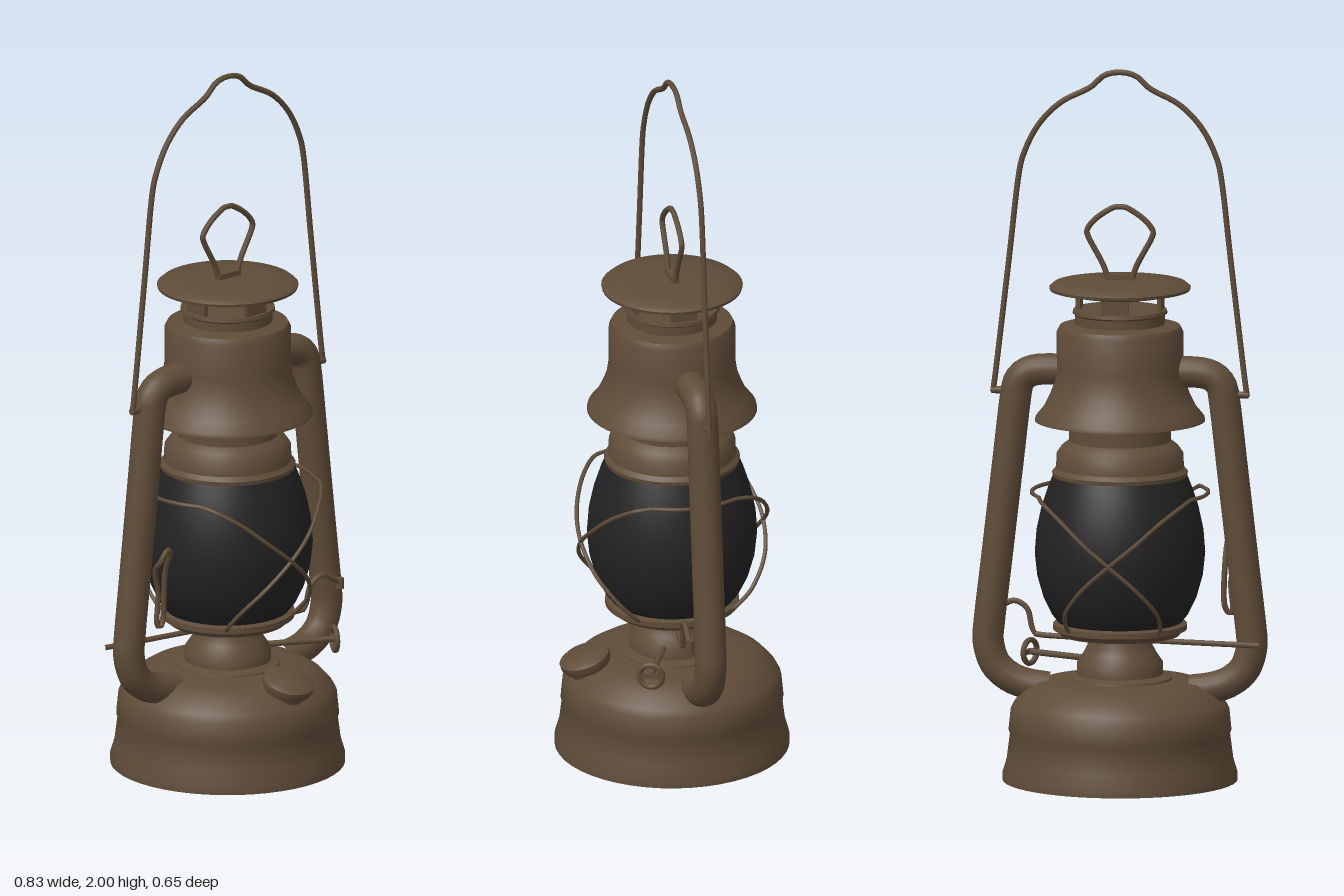
import * as THREE from 'three';
import { toCreasedNormals } from 'three/addons/utils/BufferGeometryUtils.js';

const metal = new THREE.MeshStandardMaterial({ color: 0x5f4c38 });
metal.name = 'aged brown metal';
const glass = new THREE.MeshStandardMaterial({ color: 0x222222 });
glass.name = 'sooty dark glass';

export function createModel() {
  const model = new THREE.Group();
  model.name = 'hurricaneLantern';

  const add = (name, geometry, material = metal) => {
    const mesh = new THREE.Mesh(geometry, material);
    mesh.name = name;
    model.add(mesh);
    return mesh;
  };
  // Profiles are [radius, height], listed from the bottom up the outside
  const lathe = (profile, segments = 48) => toCreasedNormals(
    new THREE.LatheGeometry(profile.map(([r, y]) => new THREE.Vector2(r, y)), segments), 0.6);
  const tube = (points, radius, { closed = false, steps = 64, sides = 8, tension = 0.5 } = {}) => {
    const curve = new THREE.CatmullRomCurve3(
      points.map((p) => new THREE.Vector3(...p)), closed, 'catmullrom', tension);
    return new THREE.TubeGeometry(curve, steps, radius, sides, closed);
  };
  const mirrorX = (half) => [...half, ...half.slice(0, -1).reverse().map(([x, y, z]) => [-x, y, z])];

  // Fuel tank and burner
  add('fuelTank', lathe([[0, 0], [0.327, 0], [0.327, 0.02], [0.315, 0.06], [0.306, 0.13], [0.31, 0.14],
    [0.304, 0.2], [0.293, 0.22], [0.265, 0.25], [0.225, 0.275], [0.17, 0.284], [0, 0.286]]));
  add('burner', lathe([[0.15, 0.27], [0.145, 0.29], [0.12, 0.298], [0.12, 0.33], [0.1, 0.36],
    [0.09, 0.38], [0.085, 0.42]]));
  add('globePlate', lathe([[0, 0.4], [0.09, 0.4], [0.165, 0.408], [0.172, 0.418], [0.186, 0.424],
    [0.186, 0.44], [0.17, 0.446], [0, 0.446]]));

  // Filler cap, tilted forward on the tank shoulder
  const filler = add('fillerCap', lathe([[0, -0.06], [0.05, -0.06], [0.05, -0.02], [0.066, -0.012], [0.072, 0],
    [0.072, 0.016], [0.06, 0.024], [0, 0.026]], 32));
  filler.position.set(0, 0.275, 0.25);
  filler.rotation.x = 0.33;

  // Globe
  add('globe', lathe([[0.168, 0.44], [0.19, 0.468], [0.213, 0.515], [0.23, 0.575], [0.237, 0.64],
    [0.232, 0.705], [0.218, 0.77], [0.2, 0.825], [0.185, 0.862]]), glass);

  // Collar, hood and chimney
  add('globeCollar', lathe([[0, 0.855], [0.187, 0.855], [0.189, 0.868], [0.178, 0.88], [0.176, 0.92],
    [0.162, 0.94], [0.142, 0.955], [0.14, 1.1]]));
  add('hood', lathe([[0.14, 1.1], [0.165, 1.1], [0.2, 1.05], [0.23, 1.012], [0.237, 1.012], [0.235, 1.022],
    [0.212, 1.05], [0.195, 1.085], [0.182, 1.12], [0.176, 1.16], [0.176, 1.262], [0.168, 1.278],
    [0.125, 1.285], [0.125, 1.31], [0.132, 1.315], [0.13, 1.325], [0, 1.325]]));
  for (let i = 0; i < 4; i++) {
    const post = add('ventPost', new THREE.BoxGeometry(0.075, 0.07, 0.012));
    post.position.set(0.114 * Math.sin(i * Math.PI / 2), 1.348, 0.114 * Math.cos(i * Math.PI / 2));
    post.rotation.y = i * Math.PI / 2;
  }
  add('chimneyCap', lathe([[0, 1.368], [0.14, 1.368], [0.155, 1.375], [0.195, 1.38], [0.197, 1.388],
    [0.185, 1.398], [0.13, 1.404], [0, 1.408]]));

  // Lifting loop on the chimney cap
  const loopFoot = add('liftingLoopFoot', new THREE.BoxGeometry(0.08, 0.02, 0.02));
  loopFoot.position.y = 1.412;
  add('liftingLoop', tube(mirrorX([[-0.035, 1.415, 0], [-0.05, 1.455, 0], [-0.09, 1.53, 0], [-0.088, 1.555, 0],
    [-0.06, 1.585, 0], [-0.02, 1.61, 0], [0, 1.613, 0]]), 0.008));

  // Air tubes and bail pivots on both sides
  for (const s of [-1, 1]) {
    add(s > 0 ? 'leftAirTube' : 'rightAirTube', tube([[0.13, 1.15, 0], [0.2, 1.152, 0], [0.25, 1.145, 0],
      [0.281, 1.12, 0], [0.293, 1.07, 0], [0.315, 0.88, 0], [0.345, 0.62, 0], [0.366, 0.44, 0], [0.369, 0.38, 0],
      [0.35, 0.32, 0], [0.31, 0.283, 0], [0.26, 0.264, 0], [0.2, 0.255, 0]].map(([x, y, z]) => [s * x, y, z]),
      0.044, { steps: 80, sides: 16 }));
    const pivot = add('bailPivot', new THREE.CylinderGeometry(0.01, 0.01, 0.06, 10));
    pivot.position.set(s * 0.33, 1.09, 0);
    pivot.rotation.z = Math.PI / 2;
  }

  // Bail handle
  add('bailHandle', tube(mirrorX([[-0.356, 1.085, 0], [-0.345, 1.17, 0], [-0.31, 1.47, 0], [-0.285, 1.69, 0],
    [-0.265, 1.77, 0], [-0.225, 1.845, 0], [-0.165, 1.905, 0], [-0.085, 1.947, 0], [-0.045, 1.982, 0],
    [0, 1.992, 0]]), 0.008, { steps: 120 }));

  // Guard wires: a crossed pair front and back, joined round the sides
  const around = (angle, y, r) => [r * Math.sin(angle), y, r * Math.cos(angle)];
  for (const face of [0, Math.PI]) {
    for (const s of [-1, 1]) {
      add('guardWire', tube([[-1.05, 0.81, 0.245], [-0.85, 0.8, 0.26], [-0.57, 0.76, 0.262], [-0.28, 0.7, 0.265],
        [0, 0.64, 0.265], [0.3, 0.57, 0.258], [0.57, 0.5, 0.235], [0.72, 0.45, 0.2], [0.75, 0.432, 0.18]]
        .map(([a, y, r]) => around(face + s * a, y, r)), 0.006, { sides: 6 }));
    }
    const side = face + Math.PI / 2;
    add('guardSideWire', tube([-0.52, -0.25, 0, 0.25, 0.52].map((a) => around(side + a, 0.81, 0.245)),
      0.006, { steps: 24, sides: 6 }));
  }

  // Globe lifting lever, passing behind one tube and in front of the other
  add('lifterRod', tube([[-0.4, 0.395, -0.068], [-0.36, 0.395, -0.06], [-0.3, 0.395, -0.05], [0, 0.395, 0],
    [0.22, 0.395, 0.04], [0.25, 0.41, 0.045], [0.265, 0.465, 0.05], [0.3, 0.488, 0.055], [0.335, 0.475, 0.058],
    [0.37, 0.45, 0.062]], 0.008, { steps: 90 }));
  const rodEnd = add('lifterRodEnd', new THREE.CylinderGeometry(0.012, 0.012, 0.03, 10));
  rodEnd.position.set(0.365, 0.452, 0.06);
  add('lifterLoop', tube([[-0.3, 0.465, 0.055], [-0.285, 0.5, 0.05], [-0.288, 0.62, 0.06], [-0.295, 0.68, 0.09],
    [-0.315, 0.7, 0.1], [-0.335, 0.67, 0.095], [-0.325, 0.63, 0.06], [-0.305, 0.56, 0.05], [-0.31, 0.48, 0.05]],
    0.008, { closed: true }));

  // Wick adjuster shaft and wheel
  add('wickShaft', tube([[0.07, 0.33, 0.04], [0.17, 0.33, 0.092], [0.275, 0.33, 0.147]], 0.009, { steps: 8 }));
  const wheel = new THREE.Group();
  wheel.name = 'wickWheel';
  const rim = new THREE.Mesh(new THREE.TorusGeometry(0.033, 0.008, 8, 24), metal);
  rim.name = 'wheelRim';
  const spoke = new THREE.Mesh(new THREE.BoxGeometry(0.06, 0.014, 0.008), metal);
  spoke.name = 'wheelSpoke';
  wheel.add(rim, spoke);
  wheel.position.set(0.27, 0.33, 0.144);
  wheel.rotation.y = 1.09;
  model.add(wheel);

  return model;
}
